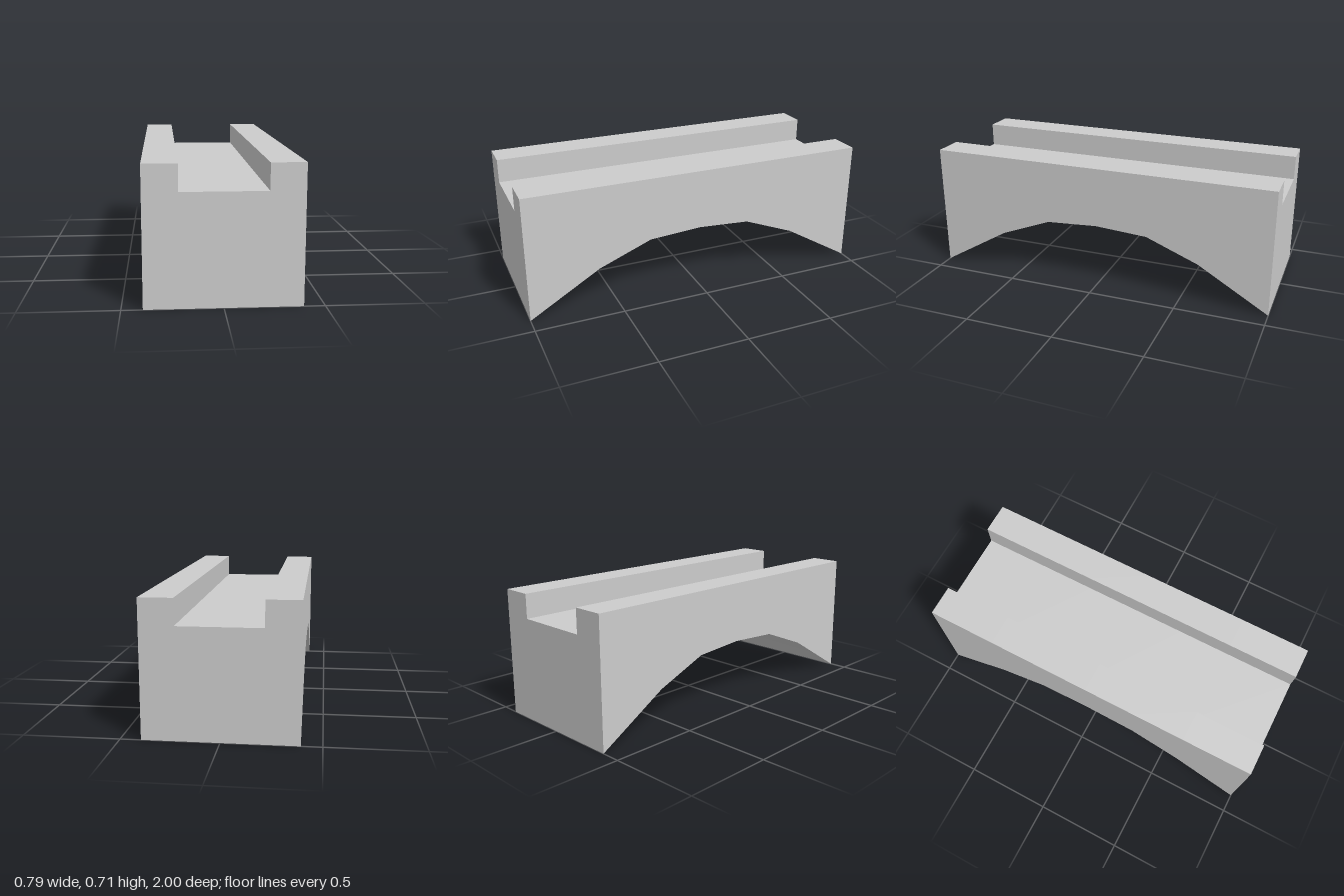
import * as THREE from 'three';
import { toCreasedNormals } from 'three/addons/utils/BufferGeometryUtils.js';

export function createModel() {
  const group = new THREE.Group();
  group.name = 'archBridge';

  // Cross-section: a deck between two raised parapets
  const w = 0.394, slot = 0.218, deck = 0.577, top = 0.713;
  const section = new THREE.Shape([
    [-w, 0], [w, 0], [w, top], [slot, top],
    [slot, deck], [-slot, deck], [-slot, top], [-w, top],
  ].map(([x, y]) => new THREE.Vector2(x, y)));

  // Arch stations along the span: [z, underside height]
  const arch = [[-1, 0], [-0.6, 0.235], [-0.3, 0.353], [0, 0.372], [0.3, 0.353], [0.6, 0.235], [1, 0]];
  const spans = arch.length - 1;

  // Extrude one step per span, then move each ring to its station and lift the underside
  const geometry = new THREE.ExtrudeGeometry(section, { depth: spans, steps: spans, bevelEnabled: false });
  const pos = geometry.attributes.position;
  for (let i = 0; i < pos.count; i++) {
    const [z, height] = arch[Math.round(pos.getZ(i))];
    pos.setZ(i, z);
    if (pos.getY(i) < 0.01) pos.setY(i, height);
  }

  // Smooth arch, sharp edges elsewhere
  const bridge = new THREE.Mesh(
    toCreasedNormals(geometry, 0.5),
    new THREE.MeshStandardMaterial({ color: 0xcccccc }),
  );
  bridge.name = 'bridgeSpan';
  group.add(bridge);
  return group;
}
